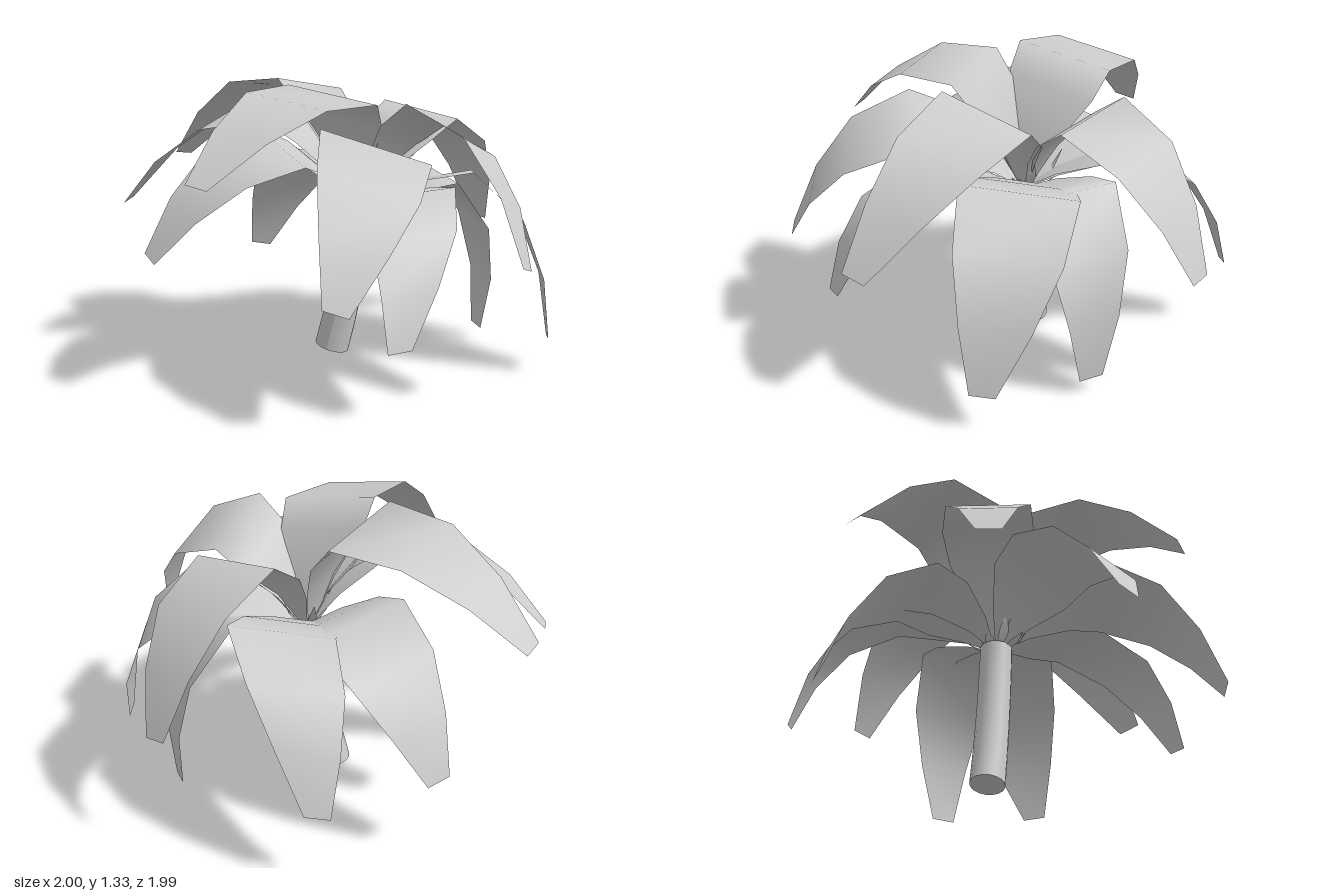
import * as THREE from 'three';

const material = new THREE.MeshStandardMaterial({ color: 0xcccccc, side: THREE.DoubleSide });
const crown = new THREE.Vector3(0.08, 0.74, -0.085);

// Sheet through a list of [left, right] point pairs
function sheet(rows, name) {
  const g = new THREE.BufferGeometry();
  const index = [];
  for (let i = 0; i < rows.length - 1; i++) {
    const a = i * 2;
    index.push(a, a + 1, a + 2, a + 1, a + 3, a + 2);
  }
  g.setAttribute('position', new THREE.Float32BufferAttribute(rows.flat().flatMap(p => p.toArray()), 3));
  g.setIndex(index);
  g.computeVertexNormals();
  const mesh = new THREE.Mesh(g, material);
  mesh.name = name;
  return mesh;
}

// Frond: widens from the crown up to a ridge, then arches down to a blunt tip
function frond(ridgeA, ridgeB, tip) {
  const a = new THREE.Vector3(...ridgeA), b = new THREE.Vector3(...ridgeB), end = new THREE.Vector3(...tip);
  const mid = a.clone().add(b).multiplyScalar(0.5);
  const width = a.distanceTo(b);
  const side = b.clone().sub(a).normalize();
  const chord = end.clone().sub(mid);
  const length = chord.length();
  const bulge = side.clone().cross(chord).normalize();
  const outward = mid.clone().sub(crown).setY(0).normalize();
  if (bulge.dot(outward) + bulge.y < 0) bulge.negate();
  const base = crown.clone().addScaledVector(outward, 0.02);
  const pair = (c, w) => [c.clone().addScaledVector(side, -w / 2), c.clone().addScaledVector(side, w / 2)];
  // the inner part stays high before it dips to the crown
  const inner = t => {
    const p = mid.clone().lerp(base, t);
    p.y += 0.17 * (mid.y - base.y);
    return p;
  };
  const arch = (t, lift) => mid.clone().addScaledVector(chord, t).addScaledVector(bulge, lift * length);
  return sheet([
    pair(base, 0.04),
    pair(inner(0.76), width * 0.48),
    pair(inner(0.4), width * 0.92),
    pair(mid, width),
    pair(arch(0.34, 0.135), width * 0.88),
    pair(arch(0.68, 0.108), width * 0.58),
    pair(end, 0.11),
  ], 'frond');
}

// Trunk: cylinder bent along a gentle curve, its rings square to the curve
function trunk() {
  const g = new THREE.CylinderGeometry(0.077, 0.081, 1, 16, 5);
  const p = g.attributes.position;
  for (let i = 0; i < p.count; i++) {
    const t = p.getY(i) + 0.5, x = p.getX(i);
    const slope = (0.2 - 0.14 * t) / 0.73;
    p.setXYZ(i, x - 0.045 + 0.2 * t - 0.07 * t * t, 0.02 + 0.73 * t - slope * x, p.getZ(i) - 0.085);
  }
  g.computeVertexNormals();
  const mesh = new THREE.Mesh(g, material);
  mesh.name = 'trunk';
  return mesh;
}

// Thin pointed sprout at the crown
function sprout(i) {
  const angle = i * 2.4, reach = 0.1 + 0.025 * (i % 4), rise = 0.06 + 0.05 * ((i * 2) % 4);
  const dir = new THREE.Vector3(Math.cos(angle), 0, Math.sin(angle));
  const across = new THREE.Vector3(-dir.z, 0, dir.x);
  const row = (r, y, w) => [-1, 1].map(s =>
    crown.clone().addScaledVector(dir, r).addScaledVector(across, s * w).add(new THREE.Vector3(0, y, 0)));
  return sheet([row(0.02, -0.02, 0.012), row(reach * 0.7, rise * 0.4, 0.025), row(reach, rise, 0.002)], 'sprout');
}

export function createModel() {
  const model = new THREE.Group();
  model.name = 'palmTree';
  model.add(trunk());

  // Two ridge corners and the tip of each frond
  const upper = [
    [[-0.27, 1.33, 0.03], [-0.12, 1.25, -0.43], [-0.98, 0.89, -0.37]],
    [[-0.18, 1.31, 0.12], [0.27, 1.24, 0.2], [-0.28, 0.955, 0.87]],
    [[0.4, 1.25, 0.2], [0.47, 1.11, -0.21], [0.98, 0.61, 0.4]],
    [[0.1, 1.16, 0.46], [0.55, 1.01, 0.32], [0.35, 0.52, 0.97]],
    [[0.08, 1.19, -0.53], [0.5, 1.13, -0.34], [0.48, 0.54, -0.94]],
    [[-0.27, 1.15, 0.2], [-0.3, 1.2, -0.24], [-0.985, 0.74, 0.2]],
  ];
  const lower = [
    [[-0.34, 1.11, 0.12], [0.01, 0.98, 0.4], [-0.61, 0.59, 0.68]],
    [[0.67, 0.94, 0.05], [0.55, 0.87, -0.44], [0.995, 0.16, -0.14]],
    [[0.27, 0.86, 0.41], [0.6, 0.88, 0.1], [0.53, 0.3, 0.7]],
    [[-0.18, 0.9, -0.52], [0.25, 0.97, -0.66], [-0.235, 0.32, -0.985]],
    [[-0.4, 0.98, -0.22], [-0.08, 0.88, -0.54], [-0.665, 0.36, -0.65]],
    [[0.54, 0.84, -0.22], [0.29, 0.87, -0.54], [0.58, 0.065, -0.51]],
  ];
  for (const f of [...upper, ...lower]) model.add(frond(...f));
  for (let i = 0; i < 9; i++) model.add(sprout(i));
  return model;
}
